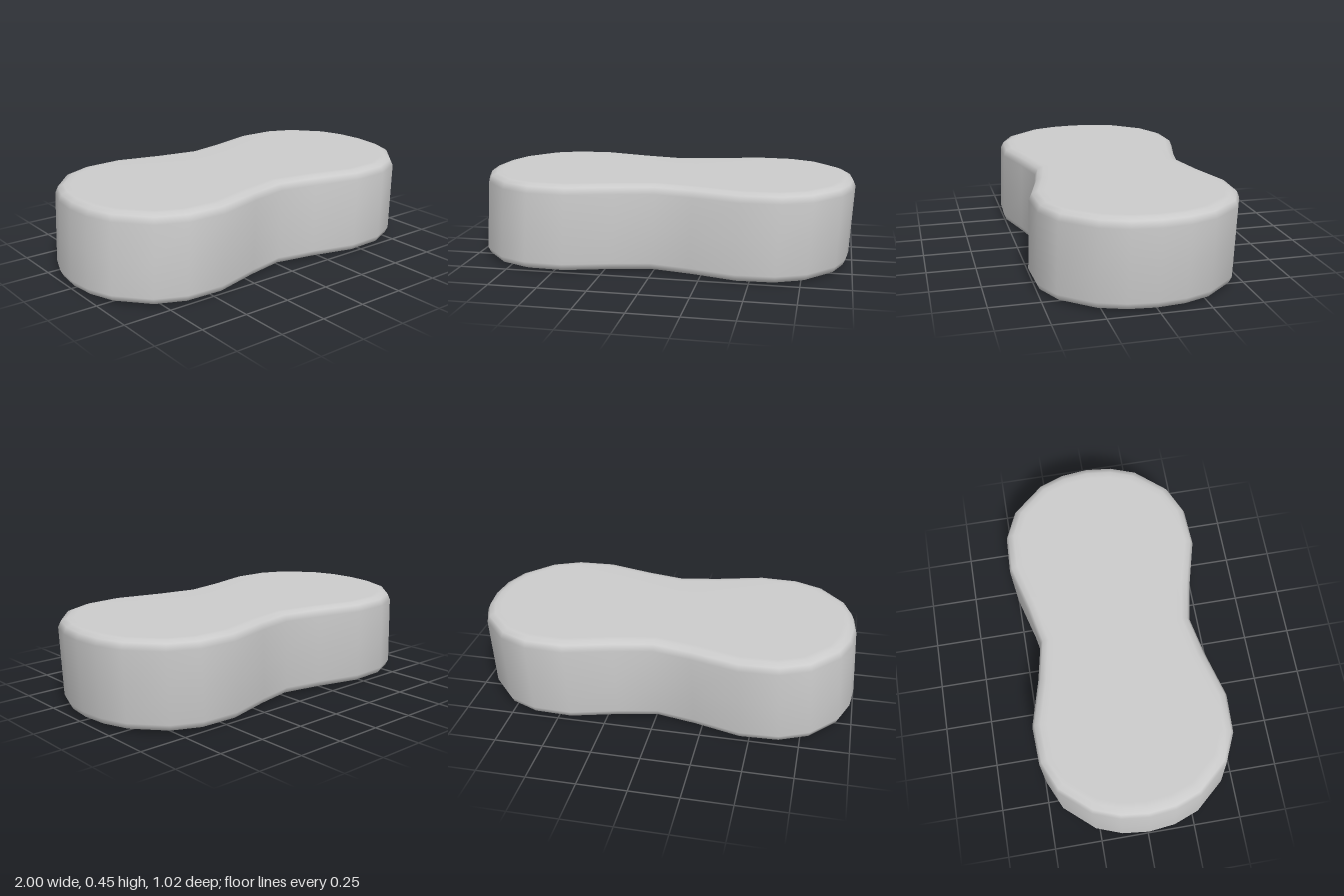
import * as THREE from 'three';

// One quarter of the waisted outline (x, z), from the end to the waist
const QUARTER = [[0.99, 0], [0.975, 0.14], [0.925, 0.275], [0.79, 0.43], [0.64, 0.497], [0.44, 0.505], [0.2, 0.44], [0, 0.4]];

// Rounded-edge profile from bottom to top: [inset, height]
const PROFILE = [[0.075, 0], [0.045, 0.002], [0.015, 0.014], [0, 0.045], [0, 0.225], [0, 0.405], [0.015, 0.438], [0.045, 0.449], [0.075, 0.45]];

function fullOutline() {
  const half = [...QUARTER, ...QUARTER.slice(0, -1).reverse().map(([x, z]) => [-x, z])];
  const other = half.slice(1, -1).reverse().map(([x, z]) => [x, -z]);
  return [...half, ...other].map(([x, z]) => new THREE.Vector2(x, z));
}

// Loft the inset outline through the profile and close both ends
function bodyGeometry() {
  const outline = fullOutline();
  const n = outline.length;
  const normals = outline.map((p, j) => {
    const t = outline[(j + 1) % n].clone().sub(outline[(j + n - 1) % n]).normalize();
    return new THREE.Vector2(t.y, -t.x);
  });
  const positions = [];
  const index = [];
  for (const [inset, y] of PROFILE) {
    const lean = (y - 0.225) / 0.18;
    outline.forEach((p, j) => positions.push(
      p.x - normals[j].x * inset + 0.01 * Math.max(-1, Math.min(1, lean)),
      y,
      p.y - normals[j].y * inset - 0.004 * lean,
    ));
  }
  for (let i = 0; i < PROFILE.length - 1; i++) {
    for (let j = 0; j < n; j++) {
      const a = i * n + j, b = i * n + (j + 1) % n;
      index.push(b, a, a + n, b, a + n, b + n);
    }
  }
  // Flat bottom and top faces
  const bottom = positions.length / 3, top = bottom + 1;
  positions.push(0, 0, 0, 0, 0.45, 0);
  const last = (PROFILE.length - 1) * n;
  for (let j = 0; j < n; j++) {
    const k = (j + 1) % n;
    index.push(bottom, j, k, top, last + k, last + j);
  }
  const geometry = new THREE.BufferGeometry();
  geometry.setAttribute('position', new THREE.Float32BufferAttribute(positions, 3));
  geometry.setIndex(index);
  geometry.computeVertexNormals();
  return geometry;
}

export function createModel() {
  const group = new THREE.Group();
  group.name = 'waistedBlock';
  const body = new THREE.Mesh(bodyGeometry(), new THREE.MeshStandardMaterial({ color: 0xcccccc }));
  body.name = 'spongeBody';
  group.add(body);
  return group;
}
